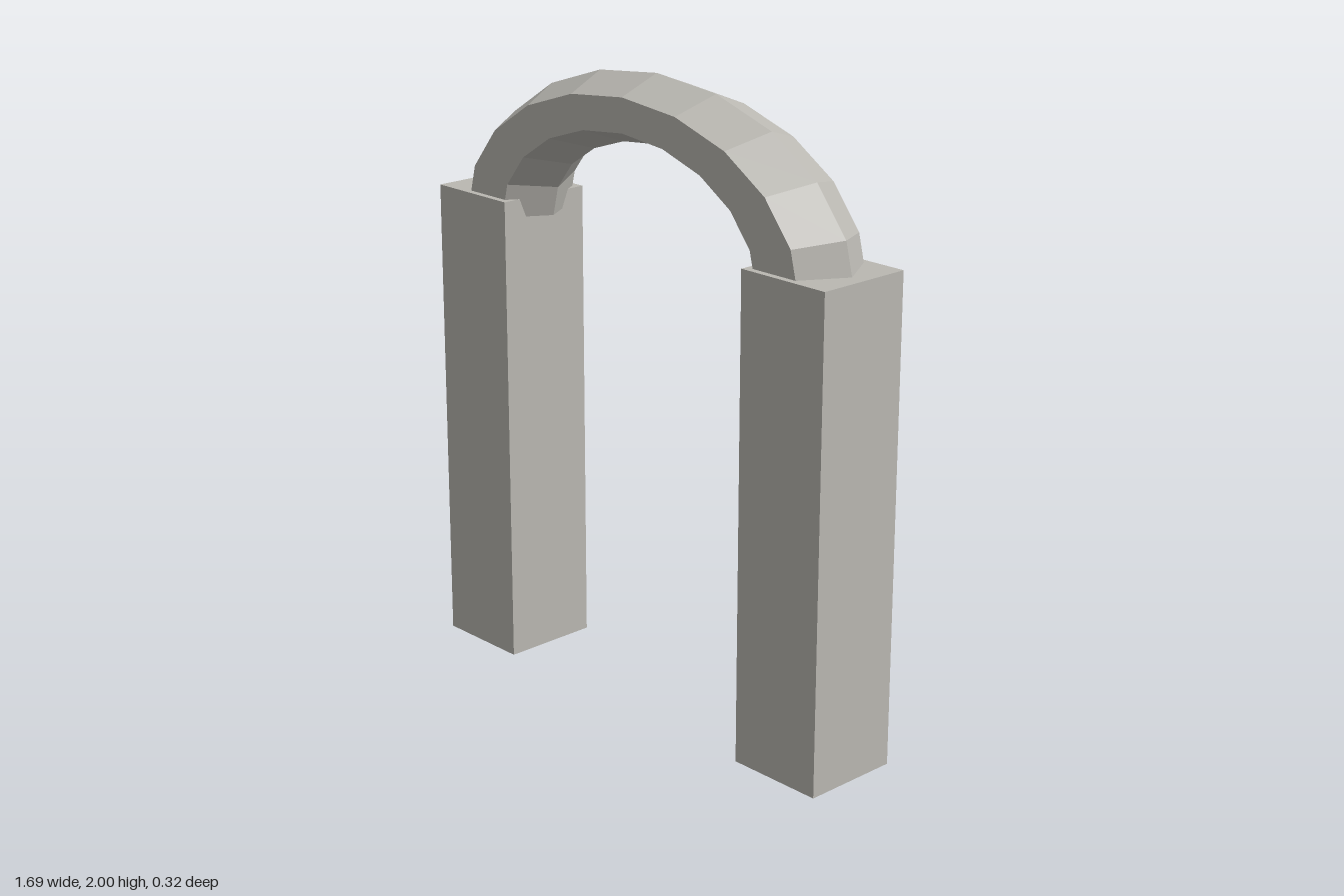
import * as THREE from 'three';

export function createModel() {
  const model = new THREE.Group();
  model.name = 'archway';
  const stone = new THREE.MeshStandardMaterial({ color: 0xbab8b2 });
  stone.name = 'pale stone';

  const add = (geometry, name, parent) => {
    const mesh = new THREE.Mesh(geometry, stone);
    mesh.name = name;
    parent.add(mesh);
    return mesh;
  };

  // Flattened hexagonal half ring, faceted
  const ringRadius = 0.643, tubeRadius = 0.167, depthScale = 0.965;
  const arch = new THREE.Group();
  arch.name = 'arch';
  arch.position.y = 1.48;
  model.add(arch);
  const ring = new THREE.TorusGeometry(ringRadius, tubeRadius, 6, 10, Math.PI)
    .scale(1, 0.642, depthScale)
    .toNonIndexed();
  ring.computeVertexNormals();
  add(ring, 'archRing', arch);

  for (const [side, x] of [['left', 1], ['right', -1]]) {
    // Downward-facing end of the arch
    const cap = new THREE.CircleGeometry(tubeRadius, 6)
      .rotateX(Math.PI / 2)
      .scale(1, 1, depthScale);
    add(cap, side + 'ArchEnd', arch).position.x = x * ringRadius;

    // Square pillar
    const pillar = add(new THREE.BoxGeometry(0.322, 1.54, 0.322), side + 'Pillar', model);
    pillar.position.set(x * 0.682, 0.77, 0);
  }
  return model;
}
